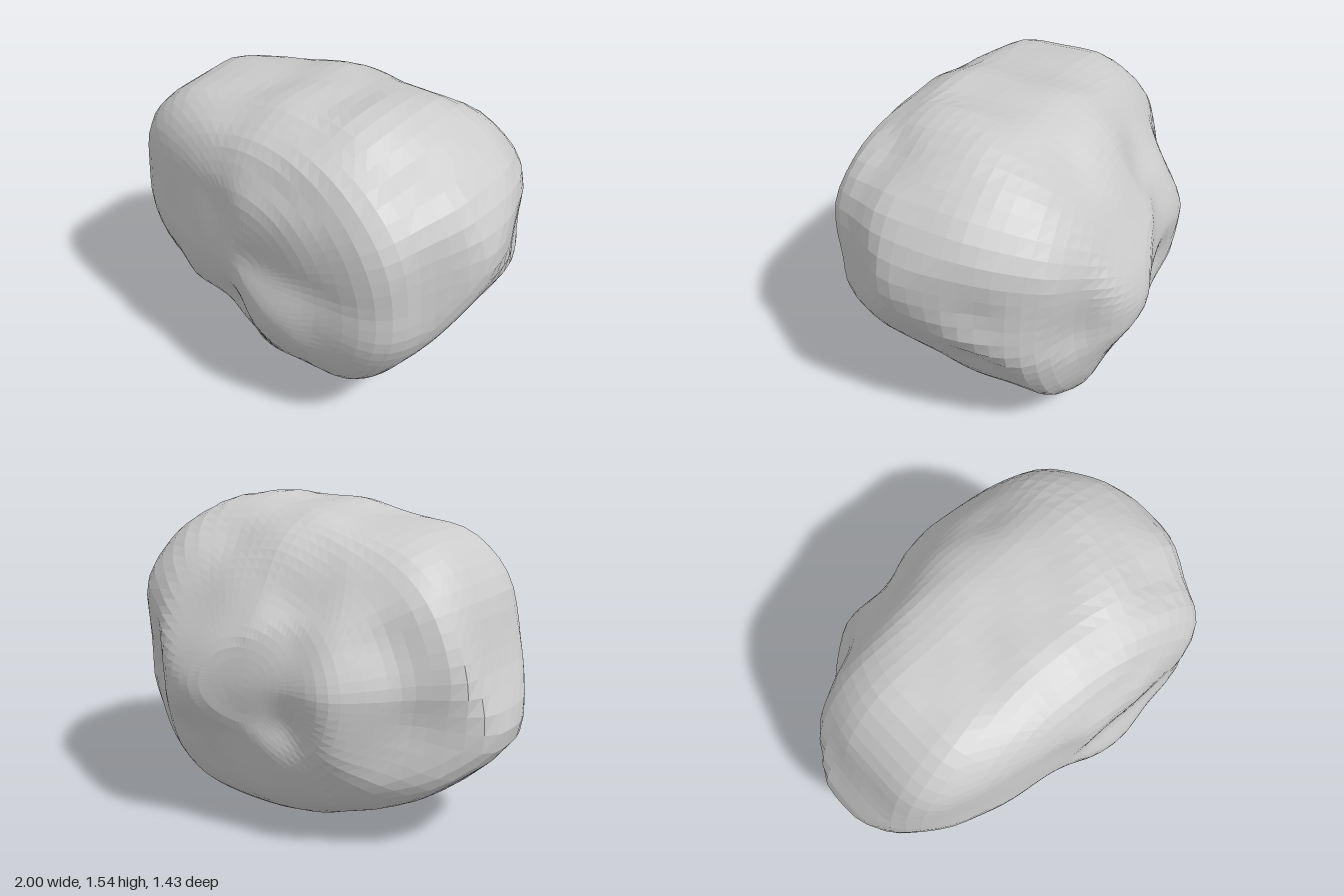
import * as THREE from 'three';

const MID = 0.78; // height of the boulder's core

// Outlines of the boulder, each a closed loop around the core
const frontOutline = [ // x, y
  1.01, 1, 1, 1.07, 0.94, 1.2, 0.86, 1.31, 0.75, 1.4, 0.62, 1.48, 0.5, 1.53, 0.35, 1.54, 0.25, 1.51, 0, 1.51,
  -0.2, 1.47, -0.42, 1.45, -0.6, 1.41, -0.73, 1.31, -0.82, 1.17, -0.86, 1.03, -0.92, 0.83, -1, 0.62, -0.99, 0.52,
  -0.88, 0.4, -0.7, 0.25, -0.52, 0.16, -0.25, 0.08, -0.07, 0.0, 0.1, 0.01, 0.33, 0.05, 0.5, 0.15, 0.65, 0.31,
  0.8, 0.53, 0.93, 0.77];
const sideOutline = [ // z, y
  0.25, 1.55, 0.38, 1.52, 0.45, 1.47, 0.58, 1.4, 0.63, 1.28, 0.68, 1.18, 0.68, 1, 0.66, 0.85, 0.71, 0.64,
  0.69, 0.5, 0.63, 0.37, 0.53, 0.25, 0.4, 0.22, 0.28, 0.14, 0.15, 0.06, 0, 0.02, -0.1, 0, -0.25, 0.06,
  -0.38, 0.11, -0.48, 0.2, -0.55, 0.35, -0.61, 0.5, -0.69, 0.64, -0.72, 0.73, -0.69, 0.87, -0.62, 1.04,
  -0.53, 1.22, -0.42, 1.35, -0.27, 1.45, -0.1, 1.51, 0.05, 1.53];
const topOutline = [ // x, z
  1.01, 0.18, 0.97, 0, 0.92, -0.2, 0.83, -0.4, 0.75, -0.5, 0.62, -0.57, 0.52, -0.65, 0.27, -0.72, 0.1, -0.66,
  -0.2, -0.59, -0.42, -0.59, -0.55, -0.5, -0.68, -0.37, -0.88, -0.22, -1, -0.07, -0.99, 0.18, -0.9, 0.34,
  -0.75, 0.48, -0.6, 0.55, -0.35, 0.61, -0.13, 0.64, 0, 0.68, 0.25, 0.71, 0.45, 0.68, 0.71, 0.68, 0.8, 0.58,
  0.83, 0.46, 0.9, 0.35];

// How much each corner is worn down, keyed by the signs of x, y and z
const cornerWear = {
  '+++': 0.01, '-++': 0.02, '++-': 0.05, '-+-': 0.18,
  '+-+': 0.05, '--+': 0.09, '+--': 0.02, '---': 0.07,
};

// Hollows: x, y, z, radius, depth (negative depth makes a bump)
const hollows = [
  [-0.1, 0.42, 0.6, 0.17, 0.1], // recess low on the front
  [-0.34, 0.32, 0.5, 0.16, 0.07],
  [-0.64, 0.44, 0.42, 0.16, 0.06],
  [0.25, 0.72, 0.69, 0.2, -0.015],
  [0.62, 1.4, 0.38, 0.18, 0.06], // shelf on top
  [0.88, 0.9, -0.2, 0.13, 0.03], // groove down the +x end
  [0.84, 0.6, -0.16, 0.13, 0.03],
  [0.63, 0.72, -0.5, 0.22, 0.08], // flat beside the back
  [0.05, 0.6, -0.62, 0.14, 0.03], // grooves across the back
  [-0.2, 0.58, -0.58, 0.13, 0.03],
  [-0.7, 0.66, -0.25, 0.16, 0.04],
  [-0.1, 1.22, -0.55, 0.24, 0.07], // slope high on the back
  [0.33, 1.45, -0.4, 0.14, 0.03],
];

// Returns a function giving 1 / reach of an outline in the direction (u, v)
function inverseReach(flat, midV) {
  const pts = [];
  for (let i = 0; i < flat.length; i += 2) pts.push(new THREE.Vector3(flat[i], flat[i + 1] - midV, 0));
  const loop = new THREE.CatmullRomCurve3(pts, true, 'centripetal').getPoints(180);
  return (u, v) => {
    let reach = 0;
    for (let i = 0; i < loop.length - 1; i++) {
      const a = loop[i], ex = loop[i + 1].x - a.x, ey = loop[i + 1].y - a.y;
      const den = u * ey - v * ex;
      if (Math.abs(den) < 1e-12) continue;
      const s = (a.x * v - a.y * u) / den;
      const t = (a.x * ey - a.y * ex) / den;
      if (s >= -1e-6 && s <= 1.000001 && t > reach) reach = t;
    }
    return reach > 0 ? 1 / reach : 0;
  };
}

const front = inverseReach(frontOutline, MID);
const side = inverseReach(sideOutline, MID);
const top = inverseReach(topOutline, 0);

// Round blend of the three outlines, never beyond any of them
function bodyRadius(d) {
  const k = [front(d.x, d.y), side(d.z, d.y), top(d.x, d.z)];
  const blend = Math.pow((k[0] ** 4 + k[1] ** 4 + k[2] ** 4) / 2, 0.25);
  return 1 / Math.max(blend, ...k);
}

// Average over nearby directions, which wears the creases smooth
function wornRadius(d) {
  const u = new THREE.Vector3(0.3, 0.9, 0.2).cross(d).normalize();
  const v = d.clone().cross(u);
  let sum = 2 * bodyRadius(d);
  for (const s of [-0.07, 0.07]) {
    sum += bodyRadius(d.clone().addScaledVector(u, s).normalize());
    sum += bodyRadius(d.clone().addScaledVector(v, s).normalize());
  }
  return 1.005 * sum / 6;
}

export function createModel() {
  const group = new THREE.Group();
  const geo = new THREE.SphereGeometry(1, 72, 44).rotateX(Math.PI / 2);
  const pos = geo.attributes.position;
  const p = new THREE.Vector3(), d = new THREE.Vector3(), c = new THREE.Vector3();
  for (let i = 0; i < pos.count; i++) {
    d.fromBufferAttribute(pos, i).normalize();
    const corner = d.toArray().map((n) => (n < 0 ? '-' : '+')).join('');
    const diagonal = Math.abs(5.196 * d.x * d.y * d.z) ** 1.5;
    let r = wornRadius(d) * (1 - cornerWear[corner] * diagonal);

    // Carve the hollows and roughen the skin
    p.copy(d).multiplyScalar(r);
    for (const [x, y, z, size, depth] of hollows) {
      c.set(x, y - MID, z);
      r -= depth * Math.exp(-p.distanceToSquared(c) / (size * size));
    }
    r += 0.004 * Math.sin(9 * p.x + 5 * p.y) * Math.sin(8 * p.y - 6 * p.z + 1)
      + 0.003 * Math.sin(17 * p.z + 4 * p.x) * Math.sin(15 * p.x - 9 * p.y);
    p.copy(d).multiplyScalar(r);
    pos.setXYZ(i, p.x, p.y, p.z);
  }

  // Rest on the ground
  geo.computeBoundingBox();
  geo.translate(0, -geo.boundingBox.min.y, 0);
  geo.computeVertexNormals();

  const boulder = new THREE.Mesh(geo, new THREE.MeshStandardMaterial({ color: 0xcccccc, flatShading: true }));
  boulder.name = 'boulder';
  group.add(boulder);
  return group;
}
